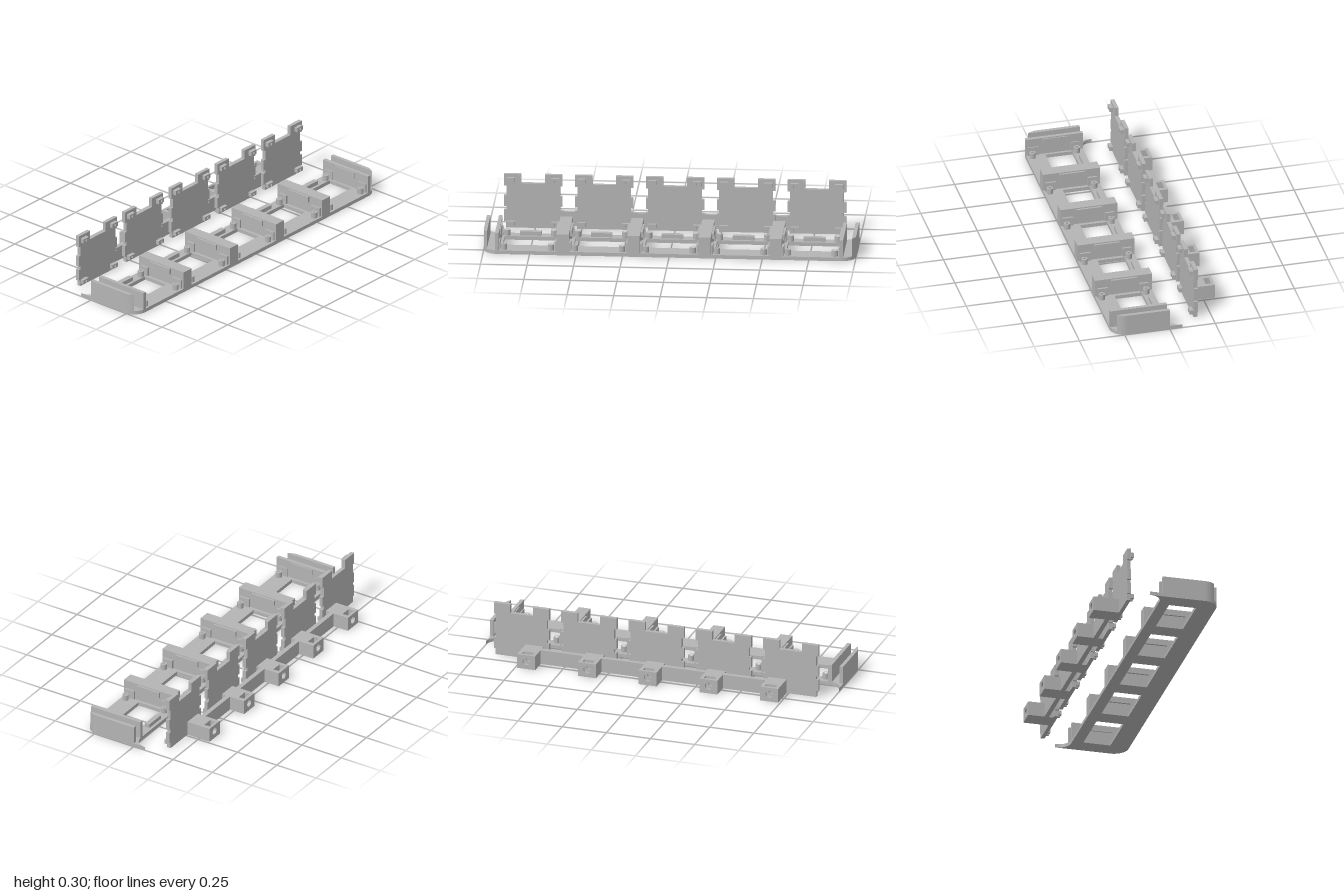
import * as THREE from 'three';

const PITCH = 0.381;
const CELLS = [-2, -1, 0, 1, 2].map((i) => i * PITCH);

export function createModel() {
  const model = new THREE.Group();
  const grey = new THREE.MeshStandardMaterial({ color: 0xb4b4b4 });
  grey.name = 'plain grey';

  const add = (parent, name, geometry) => {
    const mesh = new THREE.Mesh(geometry, grey);
    mesh.name = name;
    parent.add(mesh);
    return mesh;
  };
  // Box given by its limits on each axis
  const box = (parent, name, x0, x1, y0, y1, z0, z1) =>
    add(parent, name, new THREE.BoxGeometry(x1 - x0, y1 - y0, z1 - z0)
      .translate((x0 + x1) / 2, (y0 + y1) / 2, (z0 + z1) / 2));
  // Plan outline (x, z) raised from y0 to y1
  const slab = (parent, name, shape, y0, y1) =>
    add(parent, name, new THREE.ExtrudeGeometry(shape, { depth: y1 - y0, bevelEnabled: false, curveSegments: 16 })
      .rotateX(Math.PI / 2).translate(0, y1, 0));
  // Front outline (x, y) running from z0 to z1
  const plate = (parent, name, shape, z0, z1) =>
    add(parent, name, new THREE.ExtrudeGeometry(shape, { depth: z1 - z0, bevelEnabled: false, curveSegments: 16 })
      .translate(0, 0, z0));
  const outline = (points) => new THREE.Shape(points.map(([x, y]) => new THREE.Vector2(x, y)));
  const rectangle = (x0, x1, y0, y1) => outline([[x0, y0], [x1, y0], [x1, y1], [x0, y1]]);
  const circle = (x, y, r) => new THREE.Path().absarc(x, y, r, 0, Math.PI * 2, true);

  // ---- Tray ----
  const tray = new THREE.Group();
  tray.name = 'tray';
  model.add(tray);

  // Floor with rounded front corners, flared back ears and five windows
  const floor = new THREE.Shape();
  floor.moveTo(-0.93, 0);
  floor.lineTo(0.93, 0);
  floor.absarc(0.93, -0.07, 0.07, Math.PI / 2, 0, true);
  floor.lineTo(1, 0.235);
  floor.absarc(0.92, 0.235, 0.08, 0, Math.PI / 2, false);
  floor.lineTo(-0.92, 0.315);
  floor.absarc(-0.92, 0.235, 0.08, Math.PI / 2, Math.PI, false);
  floor.lineTo(-1, -0.07);
  floor.absarc(-0.93, -0.07, 0.07, Math.PI, Math.PI / 2, true);
  for (const x of CELLS) floor.holes.push(rectangle(x - 0.139, x + 0.139, 0.06, 0.21));
  slab(tray, 'floor', floor, 0, 0.02);

  // Outer end walls follow the rounded corner; inner walls stand beside them
  for (const s of [-1, 1]) {
    const wall = new THREE.Shape();
    wall.moveTo(s * 0.98, 0);
    wall.lineTo(s, 0);
    for (let i = 0; i <= 6; i++) {
      const a = (i / 6) * Math.acos(0.75);
      wall.lineTo(s * (0.92 + 0.08 * Math.cos(a)), 0.235 + 0.08 * Math.sin(a));
    }
    slab(tray, 'outerEndWall', wall, 0.02, 0.118);
    const edges = [s * 0.915, s * 0.935].sort((a, b) => a - b);
    box(tray, 'innerEndWall', ...edges, 0.02, 0.118, 0, 0.315);
  }

  // Blocks between neighbouring cells
  for (let i = 0; i < 4; i++) {
    const x = (i - 1.5) * PITCH;
    box(tray, 'divider', x - 0.033, x + 0.033, 0.02, 0.118, 0, 0.315);
  }

  // Guide ribs, screw posts and back stop of each cell
  const post = circle(0, 0, 0.017);
  const postShape = new THREE.Shape(post.getPoints(16));
  postShape.holes.push(circle(0, 0, 0.008));
  for (const x of CELLS) {
    for (const s of [-1, 1]) {
      const rib = (y0, y1, z0, z1) => {
        const edges = [x + s * 0.147, x + s * 0.158].sort((a, b) => a - b);
        box(tray, 'guideRib', ...edges, y0, y1, z0, z1);
      };
      rib(0.02, 0.07, 0.02, 0.07);
      rib(0.08, 0.112, 0.085, 0.225);
      rib(0.02, 0.07, 0.245, 0.305);
      for (const z of [0.04, 0.285]) {
        slab(tray, 'screwPost', postShape, 0.02, 0.052).position.set(x + s * 0.126, 0, z);
      }
    }
    box(tray, 'backStop', x - 0.058, x + 0.058, 0.02, 0.042, 0.016, 0.044);
  }

  // ---- Upright cover panels ----
  const half = [[0.146, 0], [0.146, 0.035], [0.157, 0.035], [0.157, 0.1], [0.144, 0.1], [0.144, 0.12],
    [0.157, 0.12], [0.157, 0.18], [0.144, 0.18], [0.144, 0.236], [0.157, 0.236], [0.157, 0.3],
    [0.064, 0.3], [0.064, 0.25]];
  const panelShape = outline([...half, ...half.map(([x, y]) => [-x, y]).reverse()]);
  for (const x of CELLS) {
    const panel = new THREE.Group();
    panel.name = 'coverPanel';
    panel.position.x = x;
    model.add(panel);
    plate(panel, 'panelPlate', panelShape, -0.175, -0.154);
    // Paired pegs on the front face
    for (const s of [-1, 1]) {
      for (const [y0, y1] of [[0.015, 0.039], [0.259, 0.284]]) {
        for (const d of [-0.014, 0.014]) {
          const c = s * 0.12 + d;
          box(panel, 'peg', c - 0.008, c + 0.008, y0, y1, -0.154, -0.134);
        }
        box(panel, 'pegBridge', s * 0.12 - 0.006, s * 0.12 + 0.006, y1 - 0.007, y1, -0.154, -0.134);
      }
    }
  }

  // ---- Rear mounting rail ----
  const rail = new THREE.Group();
  rail.name = 'mountingRail';
  model.add(rail);
  const pierced = rectangle(-0.051, 0.051, 0, 0.08);
  pierced.holes.push(circle(0, 0.042, 0.02));
  // Section open at the top to hold a nut
  const pocket = outline([[-0.051, 0], [0.051, 0], [0.051, 0.08], [0.03, 0.08], [0.03, 0.026],
    [0, 0.01], [-0.03, 0.026], [-0.03, 0.08], [-0.051, 0.08]]);
  const mounts = [-2, -1, 0, 1, 2].map((i) => i * 0.344);
  mounts.forEach((x, i) => {
    const mount = new THREE.Group();
    mount.name = 'mountBlock';
    mount.position.x = x;
    rail.add(mount);
    plate(mount, 'blockBack', pierced, -0.315, -0.3);
    plate(mount, 'nutPocket', pocket, -0.3, -0.268);
    plate(mount, 'blockFront', pierced, -0.268, -0.175);
    if (i < 4) box(rail, 'railBar', x + 0.051, mounts[i + 1] - 0.051, 0, 0.08, -0.225, -0.2);
  });

  return model;
}
